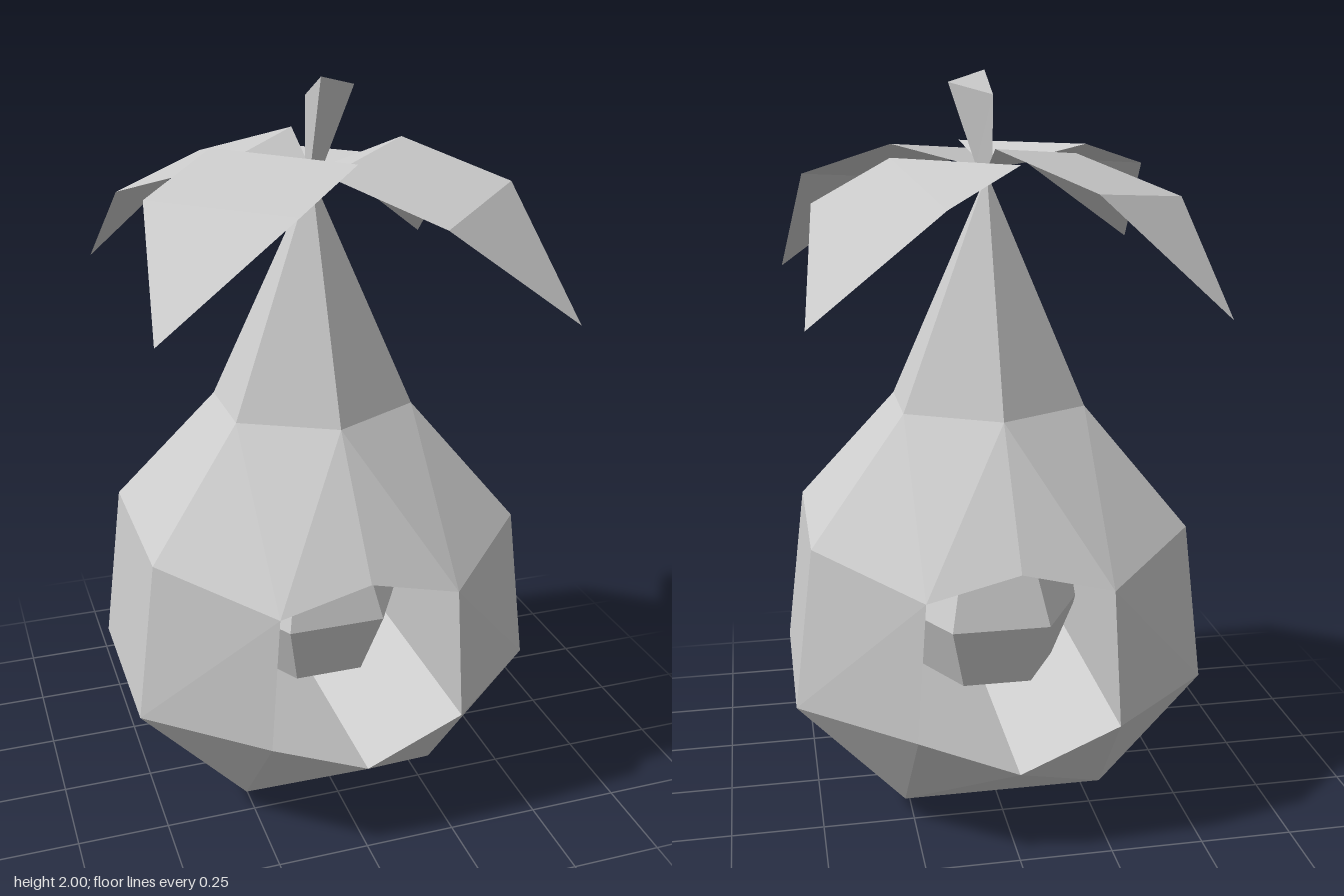
import * as THREE from 'three';

const grey = new THREE.MeshStandardMaterial({ color: 0xcccccc, flatShading: true });
grey.name = 'plain grey';
const leafGrey = new THREE.MeshStandardMaterial({ color: 0xcccccc, flatShading: true, side: THREE.DoubleSide });
leafGrey.name = 'leaf grey';

// Fan-triangulates polygons, repeating them for each [x, z] mirror sign pair.
function polyMesh(name, polys, material, signs = [[1, 1]]) {
  const pos = [];
  for (const [sx, sz] of signs) {
    for (const poly of polys) {
      const p = poly.map(([x, y, z]) => [x * sx, y, z * sz]);
      if (sx * sz < 0) p.reverse();
      // start the fan at the polygon's first listed corner in both windings
      if (sx * sz < 0) p.unshift(p.pop());
      for (let i = 1; i < p.length - 1; i++) pos.push(...p[0], ...p[i], ...p[i + 1]);
    }
  }
  const geo = new THREE.BufferGeometry();
  geo.setAttribute('position', new THREE.Float32BufferAttribute(pos, 3));
  geo.computeVertexNormals();
  const mesh = new THREE.Mesh(geo, material);
  mesh.name = name;
  return mesh;
}

const QUADRANTS = [[1, 1], [-1, 1], [1, -1], [-1, -1]];
const midZ = ([x, y]) => [x, y, 0];
const midX = ([, y, z]) => [0, y, z];

export function createModel() {
  const group = new THREE.Group();
  group.name = 'hollowFruit';

  // Body corners for one quadrant (+x, +z)
  const top = [0, 1.74, 0], bottom = [0, 0, 0];
  const neckFront = [0, 1.13, 0.25], neckSide = [0.245, 1.13, 0.12];
  const shoulder = [0.505, 0.81, 0.24], belly = [0.56, 0.365, 0.245], base = [0.275, 0.07, 0.26];
  // Opening outline, top to bottom
  const hole = [[0, 0.805, 0.495], [0.24, 0.745, 0.495], [0.265, 0.365, 0.495], [0, 0.25, 0.495]];
  const [h0, h1, h2, h3] = hole;

  group.add(polyMesh('body', [
    // neck
    [top, neckFront, neckSide],
    [top, neckSide, midZ(neckSide)],
    // shoulders
    [neckFront, h0, h1],
    [neckFront, h1, neckSide],
    [neckSide, h1, shoulder],
    [neckSide, shoulder, midZ(shoulder), midZ(neckSide)],
    // sides
    [h1, h2, belly, shoulder],
    [shoulder, belly, midZ(belly), midZ(shoulder)],
    // underside
    [h2, h3, base],
    [h2, base, belly],
    [h3, midX(base), base],
    [belly, base, midZ(base), midZ(belly)],
    [base, midX(base), bottom, midZ(base)],
  ], grey, QUADRANTS));

  // Tunnel walls running front to back
  const walls = [0, 1, 2].map((i) => [hole[i], midZ(hole[i]), midZ(hole[i + 1]), hole[i + 1]]);
  group.add(polyMesh('tunnel', walls, grey, QUADRANTS));

  // Stone inside the tunnel
  const stone = new THREE.Mesh(new THREE.SphereGeometry(0.27, 6, 4), grey);
  stone.name = 'stone';
  stone.position.y = 0.54;
  group.add(stone);

  // Leaves: inner corner a, inner corner b, bend b, bend a, tip
  const centre = [0, 1.75, 0];
  const leaves = {
    frontRightLeaf: [[-0.255, 1.815, -0.04], [0.035, 1.81, 0.255], [-0.18, 1.745, 0.475], [-0.475, 1.745, 0.19], [-0.53, 1.495, 0.53]],
    frontLeftLeaf: [[-0.04, 1.785, 0.25], [0.255, 1.82, -0.025], [0.475, 1.73, 0.185], [0.18, 1.69, 0.475], [0.53, 1.435, 0.5]],
    backLeftLeaf: [[0.25, 1.78, 0.04], [-0.04, 1.78, -0.25], [0.175, 1.7, -0.47], [0.47, 1.69, -0.18], [0.51, 1.44, -0.51]],
    backRightLeaf: [[0.025, 1.82, -0.255], [-0.25, 1.785, 0.04], [-0.475, 1.69, -0.18], [-0.18, 1.73, -0.475], [-0.5, 1.435, -0.535]],
  };
  for (const [name, [a, b, bendB, bendA, tip]] of Object.entries(leaves)) {
    group.add(polyMesh(name, [[centre, b, a], [a, b, bendB, bendA], [bendA, bendB, tip]], leafGrey));
  }

  // Three-sided stem, flaring towards its slanted top
  const low = [[-0.012, 1.76, -0.015], [-0.012, 1.76, 0.03], [0.028, 1.76, 0.008]];
  const high = [[-0.015, 1.94, -0.005], [-0.015, 2, 0.122], [0.093, 1.97, 0.058]];
  const sides = [0, 1, 2].map((i) => {
    const j = (i + 1) % 3;
    return [low[i], low[j], high[j], high[i]];
  });
  group.add(polyMesh('stem', [...sides, high, [...low].reverse()], grey));

  return group;
}
